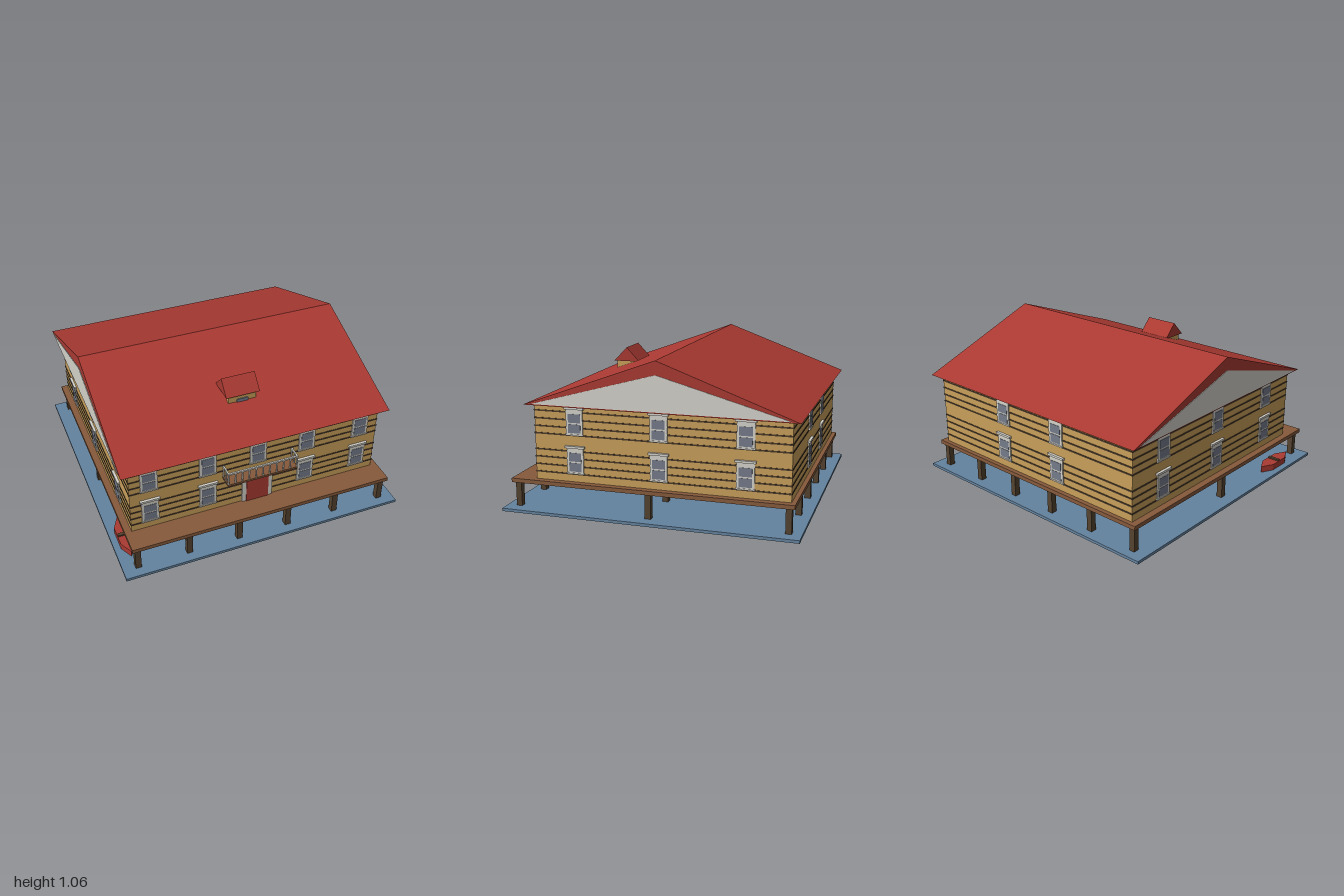
import * as THREE from 'three';

const mat = (name, color) => {
  const m = new THREE.MeshStandardMaterial({ color });
  m.name = name;
  return m;
};

export function createModel() {
  const M = {
    water: mat('water blue', 0x64839f),
    deck: mat('deck brown', 0x865a3c),
    post: mat('dark timber', 0x54422f),
    wall: mat('log tan', 0xc89f5a),
    groove: mat('groove brown', 0x4a3a2a),
    roof: mat('roof red', 0xaa3a32),
    trim: mat('trim white', 0xd4d2ca),
    glass: mat('window grey', 0x757b8a),
  };
  const root = new THREE.Group();
  root.name = 'stiltHouse';
  const group = (name, parent = root) => {
    const g = new THREE.Group();
    g.name = name;
    parent.add(g);
    return g;
  };
  const add = (parent, name, geo, material) => {
    const mesh = new THREE.Mesh(geo, material);
    mesh.name = name;
    parent.add(mesh);
    return mesh;
  };
  // Box given by its minimum and maximum corners
  const box = (parent, name, material, x0, x1, y0, y1, z0, z1) => {
    const geo = new THREE.BoxGeometry(x1 - x0, y1 - y0, z1 - z0);
    geo.translate((x0 + x1) / 2, (y0 + y1) / 2, (z0 + z1) / 2);
    return add(parent, name, geo, material);
  };
  // Profile in (z, y), extruded symmetrically along x
  const prism = (parent, name, material, pts, width, x = 0) => {
    const shape = new THREE.Shape(pts.map(p => new THREE.Vector2(...p)));
    const geo = new THREE.ExtrudeGeometry(shape, { depth: width, bevelEnabled: false });
    geo.rotateY(-Math.PI / 2).translate(x + width / 2, 0, 0);
    return add(parent, name, geo, material);
  };

  // Water, stilts and deck
  box(root, 'water', M.water, -1, 1, 0, 0.02, -1, 1);
  const stilts = group('stilts');
  for (let i = 0; i < 6; i++) {
    for (const z of [-0.915, 0, 0.915]) {
      const x = -0.895 + i * 0.358;
      box(stilts, 'stilt', M.post, x - 0.02, x + 0.02, 0.02, 0.187, z - 0.02, z + 0.02);
    }
  }
  box(root, 'deck', M.deck, -0.935, 0.935, 0.187, 0.215, -0.955, 0.955);

  // Log walls with dark grooves
  const HX = 0.888, ZF = 0.79, ZB = -0.925, ZC = -0.07;
  box(root, 'walls', M.wall, -HX, HX, 0.215, 0.73, ZB, ZF);
  const grooves = group('grooves');
  for (const y of [0.268, 0.32, 0.372, 0.422, 0.53, 0.58, 0.632, 0.684]) {
    box(grooves, 'groove', M.groove, -HX - 0.003, HX + 0.003, y - 0.005, y + 0.005, ZB - 0.003, ZF + 0.003);
  }

  // Sash windows, each built facing +z
  const windows = group('windows');
  const addWindow = (x, y, z, turn) => {
    const w = group('window', windows);
    box(w, 'frame', M.trim, -0.058, 0.058, -0.09, 0.09, -0.01, 0.008);
    box(w, 'lintel', M.trim, -0.068, 0.068, 0.085, 0.1, -0.01, 0.018);
    box(w, 'sill', M.trim, -0.062, 0.062, -0.09, -0.08, -0.01, 0.012);
    for (const [a, b] of [[-0.072, -0.014], [-0.004, 0.054]]) {
      box(w, 'pane', M.glass, -0.043, 0.043, a, b, 0.004, 0.01);
    }
    w.position.set(x, y, z);
    w.rotation.y = turn;
  };
  for (const y of [0.36, 0.62]) {
    for (const x of [-0.755, -0.355, 0.355, 0.755]) addWindow(x, y, ZF, 0);
    for (const x of [-0.25, 0.25]) addWindow(x, y, ZB, Math.PI);
    for (const s of [-1, 1]) {
      for (const z of [-0.635, ZC, 0.505]) addWindow(s * HX, y, z, s * Math.PI / 2);
    }
  }
  addWindow(0, 0.62, ZF, 0);

  // Front door
  box(root, 'doorFrame', M.trim, -0.11, 0.11, 0.215, 0.47, ZF - 0.01, ZF + 0.01);
  box(root, 'door', M.roof, -0.08, 0.08, 0.215, 0.455, ZF, ZF + 0.015);

  // Balcony
  const balcony = group('balcony');
  box(balcony, 'balconyFloor', M.deck, -0.25, 0.25, 0.47, 0.485, ZF, 0.885);
  box(balcony, 'frontRail', M.trim, -0.25, 0.25, 0.565, 0.577, 0.873, 0.885);
  for (let i = 0; i <= 10; i++) {
    const x = -0.245 + i * 0.049;
    box(balcony, 'baluster', M.trim, x - 0.004, x + 0.004, 0.485, 0.566, 0.875, 0.883);
  }
  for (const s of [-1, 1]) {
    const x = s * 0.245;
    box(balcony, 'sideRail', M.trim, x - 0.005, x + 0.005, 0.565, 0.577, ZF, 0.885);
    for (const z of [0.8, 0.84]) {
      box(balcony, 'baluster', M.trim, x - 0.004, x + 0.004, 0.485, 0.566, z - 0.004, z + 0.004);
    }
  }

  // Main roof with pale gables
  prism(root, 'roof', M.roof, [[0.842, 0.727], [ZC, 1.06], [-0.98, 0.727]], 1.89);
  for (const s of [-1, 1]) {
    prism(root, 'gable', M.trim, [[0.785, 0.735], [ZC, 0.97], [-0.925, 0.735]], 0.006, s * 0.946);
  }

  // Dormer on the front slope
  const dormer = group('dormer');
  box(dormer, 'dormerWalls', M.wall, -0.1, 0.1, 0.84, 0.905, 0.36, 0.516);
  prism(dormer, 'dormerRoof', M.roof, [[0.53, 0.9], [0.435, 1.0], [0.34, 0.9]], 0.24);
  box(dormer, 'dormerVent', M.glass, -0.04, 0.04, 0.845, 0.868, 0.516, 0.523);

  // Rowing boat, pointed at both ends
  const boat = group('boat');
  const outline = new THREE.Shape([
    [0, -0.17], [0.046, -0.08], [0.046, 0.08], [0, 0.17], [-0.046, 0.08], [-0.046, -0.08],
  ].map(p => new THREE.Vector2(...p)));
  const hull = new THREE.ExtrudeGeometry(outline, { depth: 0.045, bevelEnabled: false });
  hull.rotateX(-Math.PI / 2);
  add(boat, 'hull', hull, M.roof);
  box(boat, 'thwart', M.post, -0.042, 0.042, 0.045, 0.055, -0.012, 0.012);
  boat.position.set(-0.909, 0.02, 0.652);

  return root;
}
